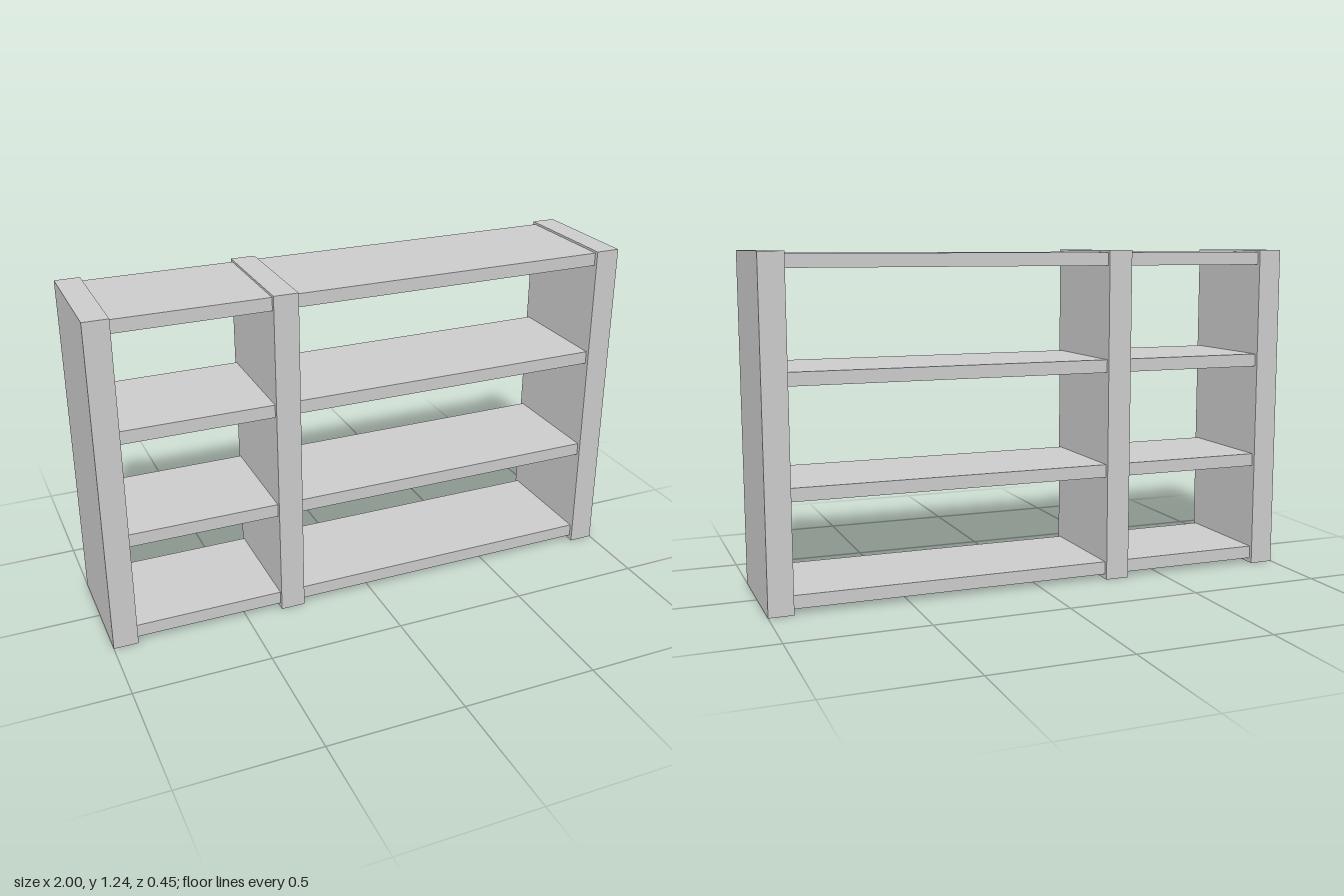
import * as THREE from 'three';

const HEIGHT = 1.235;
const UPRIGHT_DEPTH = 0.454;
const SHELF_DEPTH = 0.425;
const SHELF_THICKNESS = 0.048;

export function createModel() {
  const group = new THREE.Group();
  group.name = 'shelvingUnit';
  const material = new THREE.MeshStandardMaterial({ color: 0xcccccc });

  // Adds a board spanning x0..x1 and y0..y1, centred in depth
  function board(name, x0, x1, y0, y1, depth) {
    const mesh = new THREE.Mesh(new THREE.BoxGeometry(x1 - x0, y1 - y0, depth), material);
    mesh.position.set((x0 + x1) / 2, (y0 + y1) / 2, 0);
    mesh.name = name;
    group.add(mesh);
  }

  // Uprights: two ends and an off-centre divider
  const uprights = [
    ['rightUpright', -1, -0.91],
    ['dividerUpright', -0.362, -0.272],
    ['leftUpright', 0.91, 1],
  ];
  for (const [name, x0, x1] of uprights) board(name, x0, x1, 0, HEIGHT, UPRIGHT_DEPTH);

  // Shelves: four levels in the narrow and the wide bay
  const bays = [
    ['narrowShelf', uprights[0][2], uprights[1][1]],
    ['wideShelf', uprights[1][2], uprights[2][1]],
  ];
  [0.018, 0.392, 0.786, 1.179].forEach((y, level) => {
    for (const [name, x0, x1] of bays) {
      board(name + (level + 1), x0, x1, y, y + SHELF_THICKNESS, SHELF_DEPTH);
    }
  });

  return group;
}
